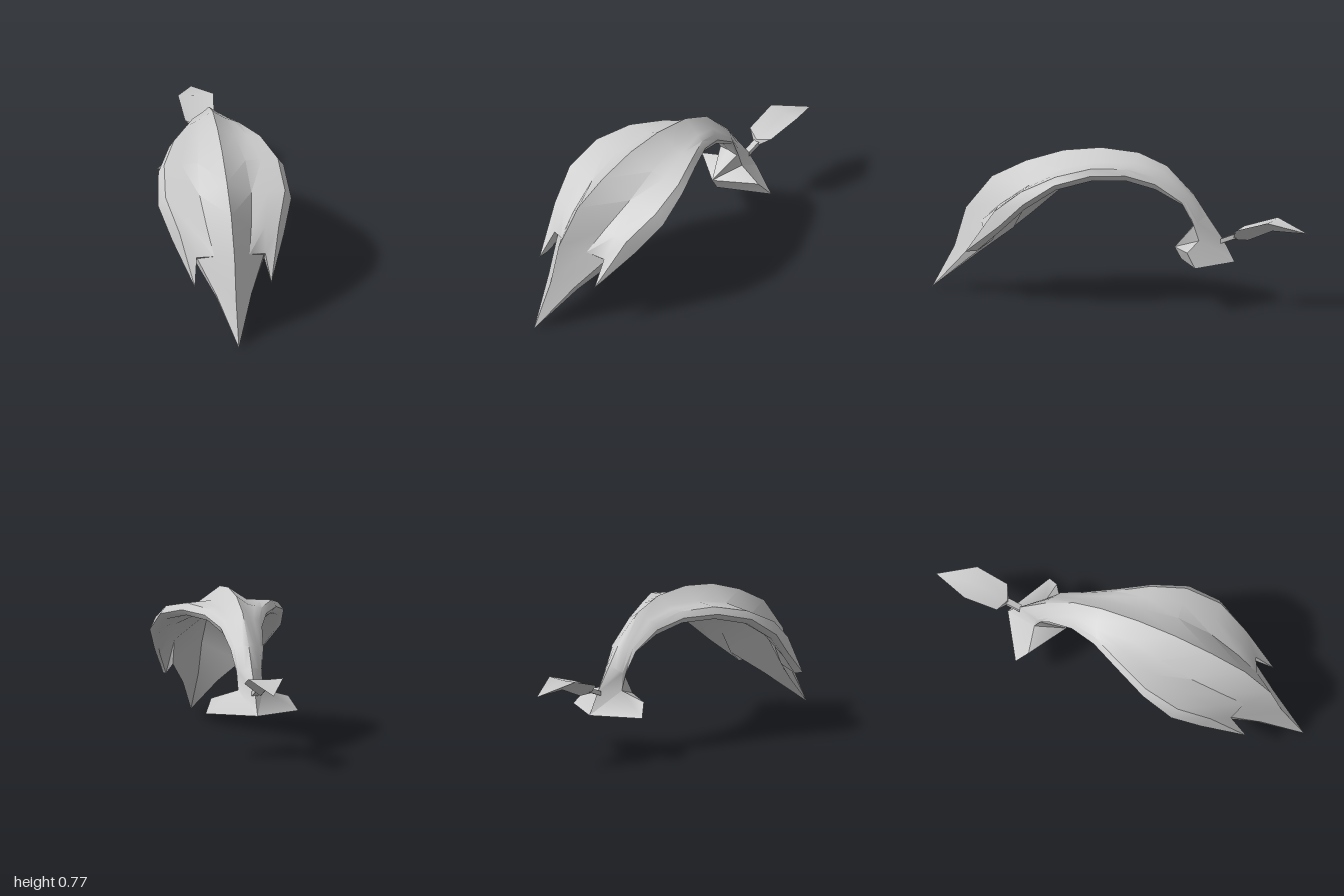
import * as THREE from 'three';
import { toCreasedNormals } from 'three/addons/utils/BufferGeometryUtils.js';

const material = new THREE.MeshStandardMaterial({ color: 0xcccccc, side: THREE.DoubleSide });

// Mesh from convex polygons of the +x half, mirrored to -x
function mirroredMesh(name, polygons, crease) {
  const positions = [];
  for (const p of polygons) {
    for (let i = 1; i < p.length - 1; i++) {
      const tri = [p[0], p[i], p[i + 1]];
      for (const v of tri) positions.push(...v);
      for (const [x, y, z] of tri.reverse()) positions.push(x === 0 ? 0 : -x, y, z);
    }
  }
  const geometry = new THREE.BufferGeometry();
  geometry.setAttribute('position', new THREE.Float32BufferAttribute(positions, 3));
  const mesh = new THREE.Mesh(toCreasedNormals(geometry, crease), material);
  mesh.name = name;
  return mesh;
}

// Quads between neighbouring lengthwise curves
function loft(curves) {
  const quads = [];
  for (let c = 0; c < curves.length - 1; c++) {
    const a = curves[c], b = curves[c + 1];
    for (let i = 0; i < a.length - 1; i++) quads.push([a[i], b[i], b[i + 1], a[i + 1]]);
  }
  return quads;
}

// Move a point towards the middle of the arch
function inward([x, y, z], depth) {
  const dy = 0.1 - y, dz = 0.05 - z, length = Math.hypot(dy, dz);
  return [x, y + dy / length * depth, z + dz / length * depth];
}

// Lengthwise curves of the arched shell, front to back
const ridge = [[0, .42, .82], [0, .59, .68], [0, .68, .5], [0, .745, .3], [0, .77, .1],
  [0, .755, -.1], [0, .695, -.25], [0, .545, -.4], [0, .45, -.465]];
const band = [[.09, .375, .71], [.112, .47, .6], [.132, .58, .44], [.122, .67, .27], [.09, .709, .08],
  [.06, .712, -.1], [.035, .67, -.24], [.03, .55, -.385], [.03, .44, -.45]];
const shoulder = [[.195, .23, .76], [.253, .455, .59], [.305, .575, .43], [.29, .66, .25], [.22, .7, .08],
  [.135, .69, -.08], [.09, .645, -.22], [.07, .54, -.36], [.06, .42, -.43]];
const rim = [[.215, .265, .7], [.285, .39, .55], [.34, .515, .41], [.32, .62, .25], [.245, .665, .08],
  [.16, .66, -.08], [.107, .615, -.22], [.085, .525, -.355], [.066, .415, -.41]];
const notch = [.175, .352, .67];
const middle = band.map((b, i) => i === 0 ? notch : b.map((v, k) => (v + shoulder[i][k]) / 2));

// Curves of the underside
const lip = rim.map(([x, y, z], i) => [x * .9, y - (i < 7 ? .028 : .012), z]);
const underNotch = [.175, .297, .62];
const underMiddle = middle.map((p, i) => i === 0 ? underNotch : inward(p, i < 7 ? .055 : .04));
const underCentre = ridge.map((p, i) => inward(p, i < 7 ? .09 : .07));

// Corners of the pointed front plate
const tip = [0, 0, 1], keel = [0, .22, .88], edge = [.09, .2, .8];
const plateNotch = [.17, .335, .652], underEdge = [.09, .178, .775], underKeel = inward(keel, .06);
const lobeTip = shoulder[0];

function createShell() {
  return mirroredMesh('archedShell', [
    ...loft([ridge, band, middle, shoulder, rim]),
    [tip, edge, keel],
    [keel, edge, plateNotch, band[0], ridge[0]],
  ], 0.65);
}

function createUnderside() {
  return mirroredMesh('underside', [
    ...loft([rim, lip, underMiddle, underCentre]),
    [lobeTip, underNotch, lip[0]],
    [lobeTip, lip[0], rim[0]],
    [tip, underKeel, underEdge],
    [underEdge, underKeel, underCentre[0], underNotch],
  ], 1.1);
}

function createNotchWalls() {
  return mirroredMesh('notchWalls', [
    [tip, underEdge, edge],
    [edge, underEdge, underNotch, plateNotch],
    [plateNotch, underNotch, notch],
    [notch, underNotch, lobeTip],
    [band[0], plateNotch, notch],
  ], 0.3);
}

function createBase() {
  const last = ridge.length - 1;
  const back = [0, .33, -.55], waist = [.065, .33, -.44], corner = [.2, .29, -.42];
  const wing = [.24, .22, -.475], heel = [0, .22, -.61];
  const front = [0, .28, -.29], frontFoot = [0, .22, -.325];
  const section = [ridge, band, middle, shoulder, rim, lip].map((curve) => curve[last]);
  return mirroredMesh('flaredBase', [
    // Neck down to the waist
    [back, section[1], section[0]],
    [back, waist, section[3], section[2], section[1]],
    [waist, section[5], section[4], section[3]],
    // Flared skirt and flat foot
    [heel, wing, waist, back],
    [wing, corner, waist],
    [waist, corner, front, section[5]],
    [front, underCentre[last], underMiddle[last], section[5]],
    [corner, wing, frontFoot, front],
    [heel, frontFoot, wing],
  ], 0.85);
}

function createRearLeaf() {
  const point = [0, .385, -1], wide = [.09, .445, -.81], root = [.075, .395, -.64], top = [0, .375, -.61];
  const topMid = [0, .44, -.81], keelMid = [0, .39, -.81], keelRoot = [0, .335, -.68], bottom = [0, .335, -.6];
  return mirroredMesh('rearLeaf', [
    [top, root, wide, topMid],
    [topMid, wide, point],
    [point, wide, keelMid],
    [keelMid, wide, root, keelRoot],
    [keelRoot, root, bottom],
    [bottom, root, top],
  ], 0.8);
}

function createStem() {
  // Short square bar from the back of the neck to the leaf
  const ring = (y, z) => [[0, y + .012, z], [.016, y + .012, z], [.016, y - .012, z], [0, y - .012, z]];
  const a = ring(.325, -.54), b = ring(.36, -.63);
  return mirroredMesh('stem', a.slice(1).map((p, i) => [a[i], p, b[i + 1], b[i]]), 0.4);
}

export function createModel() {
  const group = new THREE.Group();
  group.name = 'archedCrest';
  group.add(createShell(), createUnderside(), createNotchWalls(), createBase(), createRearLeaf(), createStem());
  return group;
}
